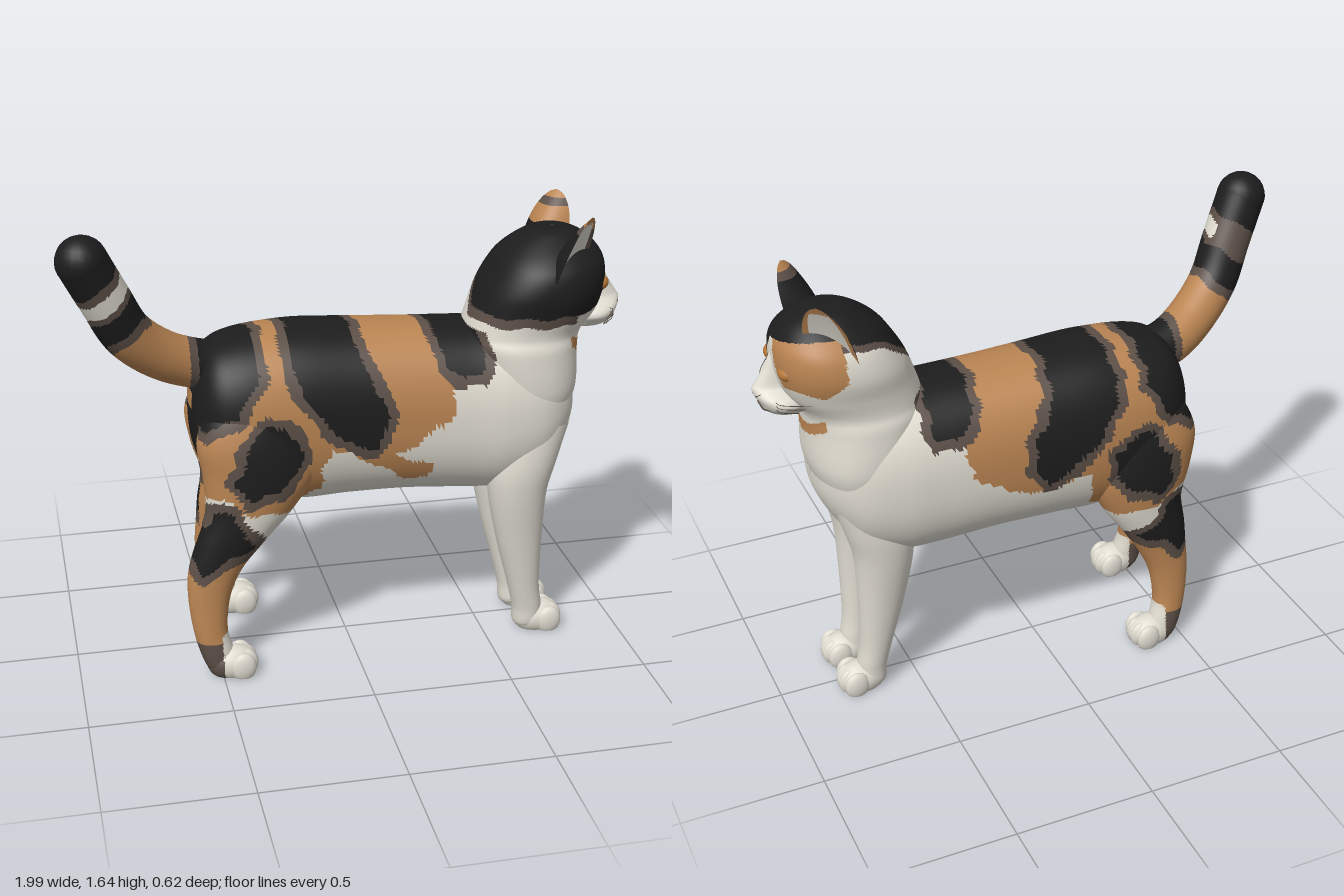
import * as THREE from 'three';

const mat = (name, color) => Object.assign(new THREE.MeshStandardMaterial({ color, side: THREE.DoubleSide }), { name });
const WHITE = 0, BLACK = 1, ORANGE = 2, BROWN = 3;
const FUR = [mat('white fur', 0xdfdbd0), mat('black fur', 0x1d1d1d), mat('orange fur', 0xb98452), mat('brown fur', 0x5c4f47)];
const EYE = mat('amber eye', 0xb5783a);
const MID = 0.035; // centre line of head and front legs in z

// Coat patches in side view (x, y)
const orangeCoat = [[-0.7, 1.3], [0.3, 1.3], [0.35, 1.05], [0.33, 0.92], [0.25, 0.86], [0.13, 0.8], [0.27, 0.74], [0.26, 0.68],
  [0.15, 0.7], [0.05, 0.78], [-0.1, 0.84], [-0.13, 0.75], [-0.12, 0.68], [-0.2, 0.62], [-0.38, 0.63], [-0.47, 0.68], [-0.7, 0.7]];
const blackPatches = [
  [[-0.23, 1.3], [-0.23, 1.1], [-0.16, 0.98], [-0.04, 0.85], [0.06, 0.82], [0.11, 0.9], [0.1, 1.0], [0.03, 1.12], [-0.01, 1.3]],
  [[0.27, 1.25], [0.31, 1.1], [0.38, 1.05], [0.45, 1.06], [0.46, 1.14], [0.44, 1.25]],
  [[-0.58, 1.25], [-0.34, 1.25], [-0.34, 1.1], [-0.42, 0.98], [-0.52, 0.92], [-0.6, 0.96]],
  [[-0.44, 0.75], [-0.39, 0.68], [-0.28, 0.71], [-0.2, 0.79], [-0.2, 0.88], [-0.27, 0.95], [-0.35, 0.94], [-0.41, 0.85]],
  [[-0.51, 0.64], [-0.44, 0.64], [-0.41, 0.56], [-0.35, 0.5], [-0.46, 0.46], [-0.56, 0.4], [-0.62, 0.48]],
];

// Distance to a polygon, negative inside
function polyDist(p, x, y) {
  let inside = false, best = 9;
  p.forEach(([ax, ay], i) => {
    const [bx, by] = p[(i + 1) % p.length], dx = bx - ax, dy = by - ay;
    const t = THREE.MathUtils.clamp(((x - ax) * dx + (y - ay) * dy) / (dx * dx + dy * dy), 0, 1);
    best = Math.min(best, Math.hypot(x - ax - t * dx, y - ay - t * dy));
    if ((ay > y) !== (by > y) && x < ax + dx * (y - ay) / dy) inside = !inside;
  });
  return inside ? -best : best;
}

// Coat colour for body and legs
function bodyFur(x, y, z) {
  const px = x + 0.008 * Math.sin(y * 50 + z * 30), py = y + 0.008 * Math.sin(x * 43);
  if (x > 0.74 && Math.abs(z - MID) < 0.15 && Math.abs(y - 1.1 - 2.4 * (z - MID) ** 2) < 0.021) return ORANGE;
  if (x > 0.5) return WHITE;
  if (x < -0.5 && Math.abs(z) < 0.13 && y > 0.76) return Math.abs(z) < 0.06 && Math.abs(y - 0.99) < 0.03 ? ORANGE : y > 0.79 ? BLACK : BROWN;
  if (x < -0.15 && y < 0.57 && y > 0.17 && Math.abs(z) < 0.18) return ORANGE; // inner hind legs
  const d = Math.min(...blackPatches.map(p => polyDist(p, px, py)));
  if (d < 0.028) return d < -0.006 ? BLACK : BROWN;
  if (y < 0.18 && x < -0.5) return y < 0.14 ? BROWN : ORANGE;
  if (py < 0.16) return WHITE;
  if (py < 0.49 && x < -0.15) return ORANGE;
  if (z < 0 && x > 0 && y < 0.8) return WHITE;
  return polyDist(orangeCoat, px, py) < 0 ? ORANGE : WHITE;
}

// Coat colour for head and neck
function headFur(x, y, z) {
  const w = z - MID, n = 0.006 * Math.sin(x * 45);
  if (y < 1.2) return bodyFur(x, y, z);
  if (x > 0.76 && y < 1.44 && Math.abs(w) < 0.015 + (1.44 - y) * 0.38) return WHITE;
  if (x > 0.73 && w < 0.01 && y < 1.44 - w * 0.2) return y > 1.29 + n + Math.max(0, 0.8 - x) * 0.6 ? ORANGE : WHITE;
  if (x > 0.78 && w > 0) return y < 1.265 + n ? WHITE : BLACK;
  const line = 1.26 + n - Math.min(w, 0) * 1.05;
  return y > line ? BLACK : y > line - 0.035 ? BROWN : WHITE;
}

// Tail rings
function tailFur(x, y, z) {
  const d = y * 0.8 - x * 0.6 + 0.008 * Math.sin(z * 60);
  if (x > -0.56) return x > -0.53 ? BLACK : BROWN;
  if (d > 1.7) return BLACK;
  if (d > 1.67) return BROWN;
  if (d > 1.615) return z > 0.12 ? WHITE : BROWN;
  if (d > 1.59) return BROWN;
  return d > 1.5 ? BLACK : d > 1.465 ? BROWN : ORANGE;
}

// Sorts the faces of a geometry into one group per fur colour
function paint(name, source, rule) {
  const g = source.toNonIndexed(), P = g.attributes.position, bins = [[], [], [], []];
  for (let i = 0; i < P.count; i += 3) {
    const c = ['getX', 'getY', 'getZ'].map(f => (P[f](i) + P[f](i + 1) + P[f](i + 2)) / 3);
    bins[rule(...c)].push(i, i + 1, i + 2);
  }
  g.setIndex(bins.flat());
  let start = 0;
  bins.forEach((b, k) => { if (b.length) g.addGroup(start, b.length, k); start += b.length; });
  const m = new THREE.Mesh(g, FUR);
  m.name = name;
  return m;
}

// Grid surface from a point function; rings close in j
function grid(rows, cols, point, closed = true) {
  const pos = [], idx = [], n = closed ? cols : cols + 1;
  for (let i = 0; i <= rows; i++) for (let j = 0; j < n; j++) pos.push(...point(i / rows, j / cols));
  for (let i = 0; i < rows; i++) for (let j = 0; j < cols; j++) {
    const a = i * n + j, b = i * n + (j + 1) % n, c = a + n, d = b + n;
    idx.push(a, c, b, b, c, d);
  }
  const g = new THREE.BufferGeometry();
  g.setAttribute('position', new THREE.Float32BufferAttribute(pos, 3));
  g.setIndex(idx);
  g.computeVertexNormals();
  return g;
}

// Smooth loft through stations [along, low, high, z centre, half width]
function loft(stations, alongX, rows, cols, power = 2.3) {
  const at = (k, i) => stations[THREE.MathUtils.clamp(i, 0, stations.length - 1)][k];
  const se = v => Math.sign(v) * Math.abs(v) ** (2 / power);
  return grid(rows, cols, (u, v) => {
    const f = u * (stations.length - 1), i = Math.min(Math.floor(f), stations.length - 2), t = f - i;
    const [s, lo, hi, zc, hw] = [0, 1, 2, 3, 4].map(k => {
      const a = at(k, i - 1), b = at(k, i), c = at(k, i + 1), d = at(k, i + 2);
      return b + 0.5 * t * (c - a + t * (2 * a - 5 * b + 4 * c - d + t * (3 * (b - c) + d - a)));
    });
    const q = v * Math.PI * 2, m = (lo + hi) / 2 + (hi - lo) / 2 * se(Math.cos(q)), z = se(Math.sin(q)) * Math.max(hw, 0.001);
    return alongX ? [s, m, zc - z] : [m, s, zc + z];
  });
}

// Ellipsoid, flattened where it meets the ground
function blob(name, [x, y, z], [rx, ry, rz], rule) {
  const g = new THREE.SphereGeometry(1, 22, 14).scale(rx, ry, rz).translate(x, y, z), P = g.attributes.position;
  for (let i = 0; i < P.count; i++) P.setY(i, Math.max(0.005, P.getY(i)));
  return paint(name, g, rule);
}

const white = () => WHITE;

function paw(name, x, z, rule) {
  const g = new THREE.Group();
  g.name = name;
  g.add(blob('pawPad', [x, 0.045, z], [0.092, 0.066, 0.064], rule));
  for (let i = 0; i < 4; i++) {
    const k = i - 1.5, front = 0.05 - Math.abs(k) * 0.012;
    g.add(blob('toe', [x + front, 0.045, z + k * 0.034], [0.046, 0.054, 0.023], white));
  }
  return g;
}

// Cupped round ear: furry back and pale inside sharing one rim
function ear(name, s) {
  const g = new THREE.Group();
  g.name = name;
  const half = v => 0.092 * Math.max(0, 1 - v ** 2.6) ** 0.6;
  const surface = depth => grid(26, 26, (v, j) => {
    const u = j * 2 - 1, w = u * half(v), d = -depth * (1 - u * u) * (1 - v * v);
    return [0.75 + 0.06 * v + 0.7 * w + 0.7 * d, 1.39 + 0.222 * v, MID + s * (0.155 + 0.035 * v - 0.7 * w + 0.7 * d)];
  }, false);
  g.add(paint('earBack', surface(0.08), (x, y) => (y > 1.585 ? ORANGE : y > 1.56 ? BROWN : s > 0 || y < 1.5 ? BLACK : ORANGE)));
  g.add(paint('earInside', surface(0.025), (x, y, z) => {
    const v = (y - 1.39) / 0.222, w = (x - 0.75 - 0.025 * v - s * (z - MID) + 0.155) / 1.4 - 0.0 * v;
    if (Math.abs(w - 0.0) < half(v) * 0.78 && v < 0.86) return WHITE;
    return s > 0 && v < 0.75 ? BROWN : ORANGE;
  }));
  return g;
}

function line(name, points, r) {
  const curve = new THREE.CatmullRomCurve3(points.map(p => new THREE.Vector3(...p)));
  const m = new THREE.Mesh(new THREE.TubeGeometry(curve, 14, r, 5), FUR[BROWN]);
  m.name = name;
  return m;
}

export function createModel() {
  const cat = new THREE.Group();
  cat.name = 'cat';

  // Torso
  cat.add(paint('torso', loft([
    [-0.562, 0.91, 0.95, 0, 0.01], [-0.548, 0.8, 1.06, 0, 0.12], [-0.5, 0.7, 1.165, 0, 0.2], [-0.4, 0.63, 1.21, -0.01, 0.25],
    [-0.2, 0.585, 1.23, -0.015, 0.262], [0, 0.588, 1.222, -0.015, 0.257], [0.2, 0.587, 1.212, -0.01, 0.25],
    [0.4, 0.575, 1.205, -0.003, 0.248], [0.55, 0.575, 1.2, 0.008, 0.25], [0.68, 0.63, 1.17, 0.018, 0.23],
    [0.765, 0.74, 1.1, 0.025, 0.175], [0.808, 0.83, 1.0, 0.03, 0.1], [0.818, 0.9, 0.92, 0.03, 0.003],
  ], true, 170, 110), bodyFur));

  // Neck and head in one rising loft
  cat.add(paint('neckAndHead', loft([
    [0.85, 0.55, 0.79, 0.02, 0.19], [0.97, 0.47, 0.832, 0.02, 0.228], [1.12, 0.42, 0.832, 0.025, 0.22], [1.18, 0.42, 0.845, 0.025, 0.203],
    [1.25, 0.44, 0.895, 0.027, 0.21], [1.33, 0.47, 0.918, 0.027, 0.224], [1.4, 0.51, 0.92, 0.027, 0.213], [1.45, 0.548, 0.905, 0.025, 0.18],
    [1.5, 0.61, 0.86, 0.022, 0.12], [1.528, 0.67, 0.8, 0.02, 0.07], [1.534, 0.73, 0.74, 0.02, 0.002],
  ], false, 120, 110, 2.2), headFur));

  // Muzzle running from chin to nose bridge
  cat.add(paint('muzzle', loft([
    [1.163, 0.84, 0.88, MID, 0.01], [1.172, 0.8, 0.935, MID, 0.055], [1.192, 0.8, 0.962, MID, 0.08], [1.215, 0.8, 0.972, MID, 0.1],
    [1.24, 0.8, 0.985, MID, 0.09], [1.265, 0.8, 0.992, MID, 0.052], [1.285, 0.8, 0.98, MID, 0.04], [1.33, 0.8, 0.95, MID, 0.034],
    [1.38, 0.8, 0.925, MID, 0.028], [1.42, 0.8, 0.9, MID, 0.02],
  ], false, 50, 40, 2), white));
  cat.add(line('mouth', [[0.948, 1.203, MID - 0.058], [0.966, 1.2, MID - 0.03], [0.972, 1.212, MID],
    [0.966, 1.2, MID + 0.03], [0.948, 1.203, MID + 0.058]], 0.003));
  cat.add(line('noseCrease', [[0.973, 1.258, MID - 0.038], [0.985, 1.245, MID - 0.02], [0.979, 1.235, MID],
    [0.985, 1.245, MID + 0.02], [0.973, 1.258, MID + 0.038]], 0.002));

  for (const s of [-1, 1]) {
    const side = s > 0 ? 'right' : 'left', z = MID + s * 0.085; // the cat faces +x

    // Eyes with dark lids
    const eye = new THREE.Mesh(new THREE.SphereGeometry(1, 24, 16).scale(0.032, 0.027, 0.038), EYE);
    eye.name = side + 'Eye';
    eye.position.set(0.888, 1.345, z);
    eye.rotation.y = -s * 0.4;
    const lid = new THREE.Mesh(new THREE.TorusGeometry(0.036, 0.0045, 6, 28).scale(1, 0.74, 1), FUR[BLACK]);
    lid.name = side + 'Eyelid';
    lid.position.set(0.898, 1.345, z);
    lid.rotation.y = Math.PI / 2 - s * 0.4;
    cat.add(eye, lid, ear(side + 'Ear', s));

    // Whiskers
    for (let i = 0; i < 3; i++) {
      const y = 1.212 + i * 0.014, out = s > 0 ? 0.19 + i * 0.04 : 0.15 + i * 0.012;
      cat.add(line('whisker', [[0.935, y, MID + s * 0.07], [0.93, y + 0.012, MID + s * 0.12], [0.88 - i * 0.02, y + 0.015, MID + s * out]], 0.0013));
    }

    // Front leg
    cat.add(paint(side + 'FrontLeg', loft([
      [0.01, 0.65, 0.68, 0.09, 0.01], [0.03, 0.618, 0.72, 0.092, 0.052], [0.1, 0.612, 0.722, 0.095, 0.056], [0.2, 0.588, 0.708, 0.1, 0.06],
      [0.4, 0.535, 0.707, 0.108, 0.076], [0.58, 0.5, 0.715, 0.112, 0.096], [0.7, 0.5, 0.745, 0.115, 0.1], [0.85, 0.54, 0.79, 0.11, 0.09],
    ].map(([y, a, b, o, w]) => [y, a, b, MID + s * o, w]), false, 50, 40, 2.1), white));
    cat.add(paw(side + 'FrontPaw', 0.71, MID + s * 0.093, white));

    // Hind leg; the one on -z steps slightly forward
    const step = y => (s < 0 ? 0.08 * THREE.MathUtils.clamp((0.75 - y) / 0.35, 0, 1) : 0);
    cat.add(paint(side + 'HindLeg', loft([
      [0.01, -0.52, -0.49, 0.235, 0.01], [0.03, -0.55, -0.45, 0.235, 0.048], [0.09, -0.575, -0.455, 0.235, 0.052], [0.18, -0.597, -0.475, 0.225, 0.053],
      [0.3, -0.61, -0.46, 0.212, 0.056], [0.4, -0.605, -0.415, 0.202, 0.064], [0.5, -0.575, -0.33, 0.192, 0.08], [0.62, -0.535, -0.22, 0.18, 0.1],
      [0.75, -0.54, -0.14, 0.17, 0.116], [0.88, -0.555, -0.17, 0.163, 0.11], [1.0, -0.5, -0.25, 0.15, 0.08], [1.08, -0.4, -0.35, 0.15, 0.01],
    ].map(([y, a, b, o, w]) => [y, a + step(y), b + step(y), -0.008 + s * o, w]), false, 110, 60, 2.1), (x, y, z) => bodyFur(x - step(y), y, z)));
    cat.add(paw(side + 'HindPaw', -0.462 + step(0), -0.003 + s * 0.237, (x, y, z) => bodyFur(x - step(0), Math.min(y, 0.12), z)));
  }

  // Tail with rounded tip
  const path = new THREE.CatmullRomCurve3([[-0.42, 1.09, 0], [-0.55, 1.12, 0.02], [-0.66, 1.175, 0.06], [-0.77, 1.275, 0.11],
    [-0.84, 1.41, 0.15], [-0.912, 1.556, 0.185]].map(p => new THREE.Vector3(...p)));
  cat.add(paint('tail', new THREE.TubeGeometry(path, 96, 0.087, 40), tailFur));
  cat.add(blob('tailTip', [-0.912, 1.556, 0.185], [0.088, 0.088, 0.088], () => BLACK));
  return cat;
}
